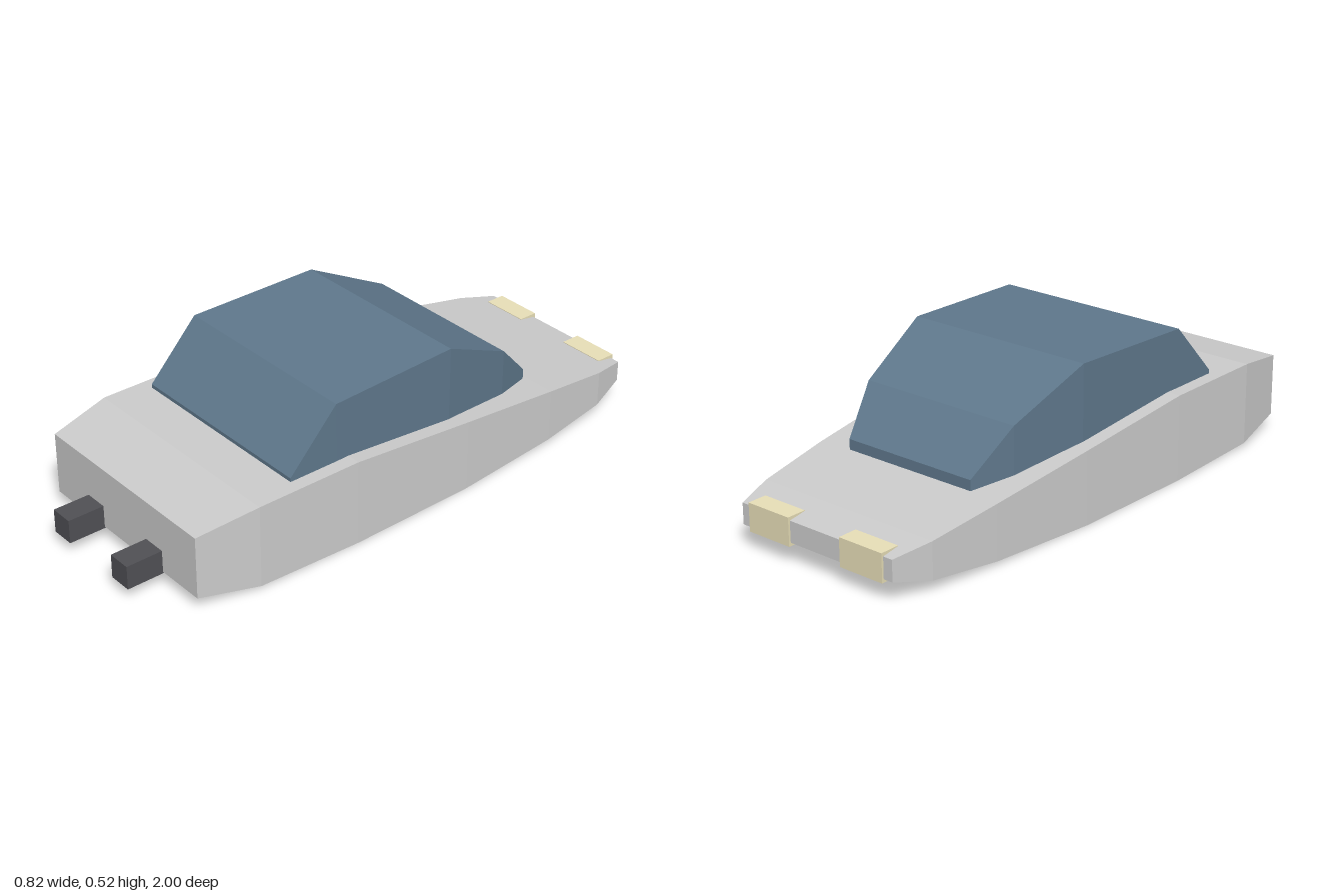
import * as THREE from 'three';

const grey = new THREE.MeshStandardMaterial({ color: 0xcccccc, flatShading: true });
const glass = new THREE.MeshStandardMaterial({ color: 0x5f788c, flatShading: true });
const dark = new THREE.MeshStandardMaterial({ color: 0x505055, flatShading: true });
const cream = new THREE.MeshStandardMaterial({ color: 0xe8dfb8, flatShading: true });

// Lofts rectangular sections [z, halfWidth, bottom, top], ordered front to back
function loft(sections) {
  const positions = [];
  const index = [];
  for (const [z, w, lo, hi] of sections) {
    positions.push(-w, lo, z, w, lo, z, w, hi, z, -w, hi, z);
  }
  for (let s = 0; s < sections.length - 1; s++) {
    for (let k = 0; k < 4; k++) {
      const a = s * 4 + k, b = s * 4 + (k + 1) % 4;
      index.push(a, a + 4, b + 4, a, b + 4, b);
    }
  }
  const e = (sections.length - 1) * 4;
  index.push(0, 1, 2, 0, 2, 3, e, e + 2, e + 1, e, e + 3, e + 2);
  const geometry = new THREE.BufferGeometry();
  geometry.setAttribute('position', new THREE.Float32BufferAttribute(positions, 3));
  geometry.setIndex(index);
  const flat = geometry.toNonIndexed();
  flat.computeVertexNormals();
  return flat;
}

export function createModel() {
  const model = new THREE.Group();
  const add = (name, geometry, material) => {
    const mesh = new THREE.Mesh(geometry, material);
    mesh.name = name;
    model.add(mesh);
    return mesh;
  };

  // Tapered hull
  add('body', loft([
    [0.87, 0.375, 0.05, 0.268],
    [0.655, 0.41, 0.015, 0.304],
    [0.27, 0.41, 0.002, 0.304],
    [-0.2, 0.4, 0.002, 0.257],
    [-0.6, 0.375, 0.017, 0.207],
    [-0.86, 0.35, 0.043, 0.17],
    [-0.993, 0.314, 0.075, 0.148],
  ]), grey);

  // Faceted cabin, its lower edge sunk slightly into the hull
  add('cabin', loft([
    [0.5, 0.362, 0.29, 0.317],
    [0.32, 0.362, 0.29, 0.51],
    [-0.16, 0.35, 0.25, 0.522],
    [-0.44, 0.305, 0.215, 0.39],
    [-0.585, 0.255, 0.195, 0.245],
  ]), glass);

  // Paired front prongs and rear lights
  for (const [side, sign] of [['left', 1], ['right', -1]]) {
    add(side + 'FrontProng', new THREE.BoxGeometry(0.083, 0.083, 0.14), dark)
      .position.set(sign * 0.157, 0.086, 0.93);
    add(side + 'RearLight', new THREE.BoxGeometry(0.172, 0.097, 0.07), cream)
      .position.set(sign * 0.193, 0.112, -0.965);
  }
  return model;
}
